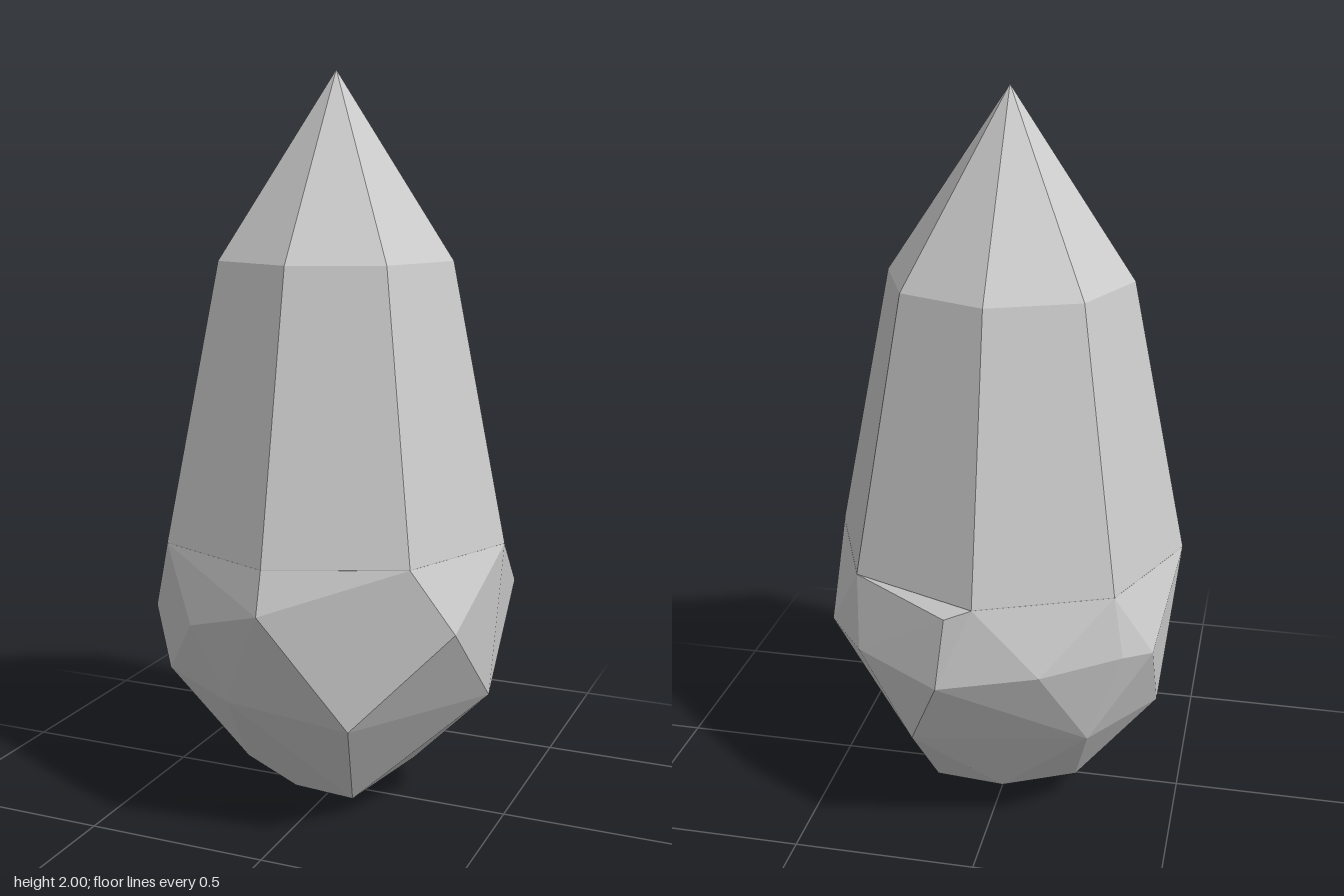
import * as THREE from 'three';
import { ConvexGeometry } from 'three/addons/geometries/ConvexGeometry.js';

const SIDES = 8;

export function createModel() {
  const group = new THREE.Group();
  group.name = 'crystal';
  const stone = new THREE.MeshStandardMaterial({ color: 0xcccccc, flatShading: true });
  stone.name = 'pale grey stone';

  const add = (name, geometry) => {
    const mesh = new THREE.Mesh(geometry, stone);
    mesh.name = name;
    group.add(mesh);
  };

  // Tapered eight-sided shaft with a pointed tip
  const profile = [[0, 0.6], [0.46, 0.6], [0.485, 0.77], [0.332, 1.51], [0, 2]];
  add('crystalShaft', new THREE.LatheGeometry(profile.map(([r, y]) => new THREE.Vector2(r, y)), SIDES));

  // Faceted rocky base: uneven rings of corners, x y z
  const corners = [
    // underside
    [0.08, 0, 0.03], [-0.1, 0.005, 0.06], [-0.04, 0, -0.03],
    [0.12, 0.05, 0.17], [0.18, 0.05, -0.16], [-0.23, 0.09, 0.1], [-0.22, 0.09, -0.14], [-0.03, 0.1, -0.25],
    // lower belt
    [0.45, 0.34, 0], [0.2, 0.34, 0.4], [0.18, 0.34, -0.43],
    [-0.4, 0.38, 0.24], [-0.44, 0.34, -0.1], [-0.28, 0.34, -0.34], [-0.16, 0.36, 0.37],
    // widest belt
    [0.44, 0.59, 0.27], [0.44, 0.59, -0.27], [0.33, 0.57, -0.39], [0.09, 0.55, -0.52],
    [-0.17, 0.58, -0.465], [-0.37, 0.6, -0.35], [-0.44, 0.58, -0.27],
    [-0.45, 0.55, 0.22], [-0.23, 0.58, 0.43], [0.0, 0.655, 0.515],
    // upper lip
    [0.07, 0.74, -0.495],
  ].map((p) => new THREE.Vector3(...p));
  // corners where the rock meets the shaft
  for (let i = 0; i < SIDES; i++) {
    const a = (i / SIDES) * Math.PI * 2;
    corners.push(new THREE.Vector3(0.485 * Math.cos(a), 0.768, 0.485 * Math.sin(a)));
  }
  add('rockBase', new ConvexGeometry(corners));

  return group;
}
